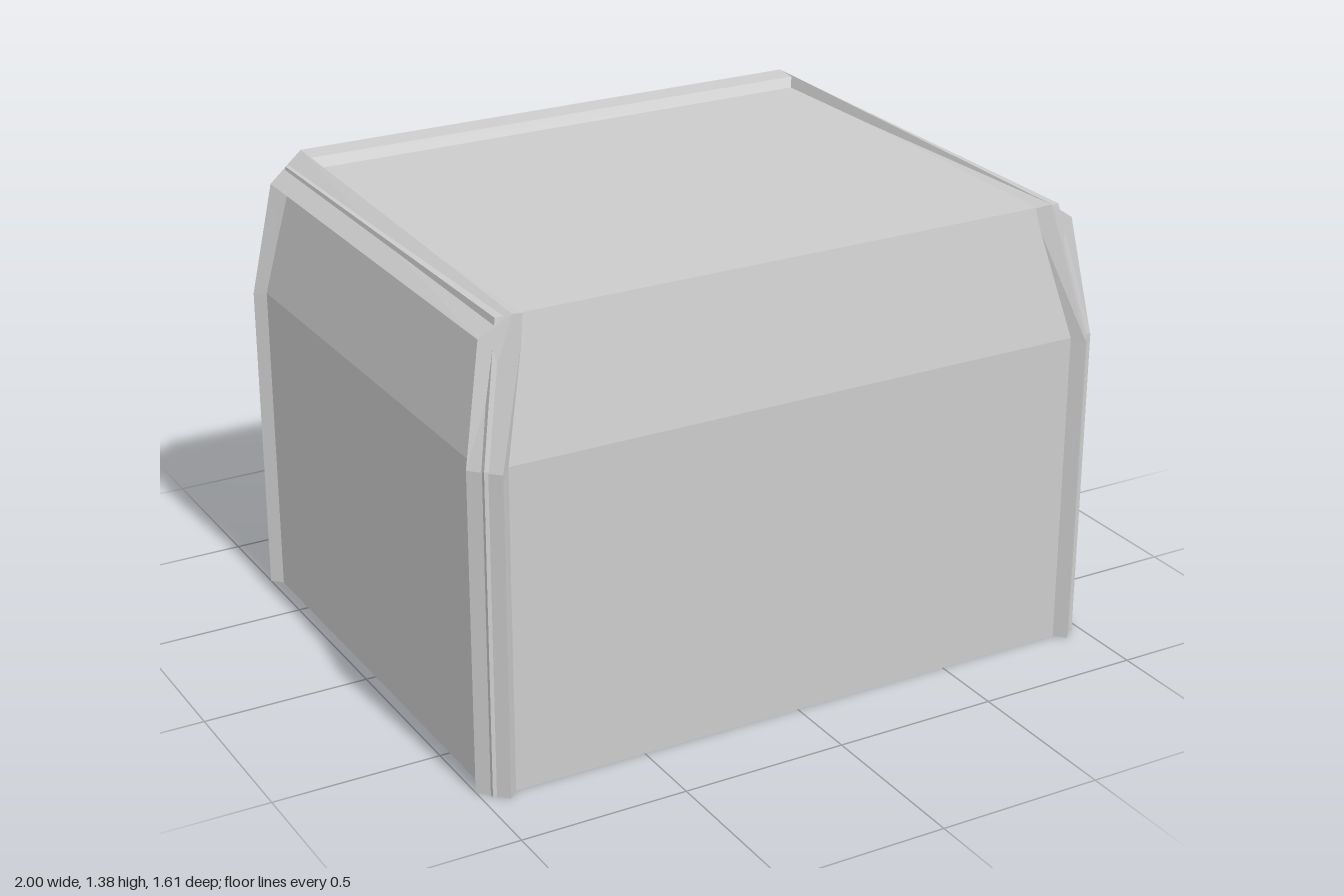
import * as THREE from 'three';
import { mergeVertices } from 'three/addons/utils/BufferGeometryUtils.js';

const flat = new THREE.MeshStandardMaterial({ color: 0xcccccc, flatShading: true });
const smooth = new THREE.MeshStandardMaterial({ color: 0xcccccc });

// Capped solid through matching cross-sections; winding is fixed from its volume.
function loft(sections) {
  const tris = [];
  const n = sections[0].length;
  for (let s = 0; s < sections.length - 1; s++) {
    const a = sections[s], b = sections[s + 1];
    for (let i = 0; i < n; i++) {
      const j = (i + 1) % n;
      tris.push([a[i], a[j], b[j]], [a[i], b[j], b[i]]);
    }
  }
  const first = sections[0], last = sections[sections.length - 1];
  for (let i = 1; i < n - 1; i++) {
    tris.push([first[0], first[i + 1], first[i]], [last[0], last[i], last[i + 1]]);
  }
  const o = new THREE.Vector3(...first[0]);
  let volume = 0;
  for (const t of tris) {
    const [p, q, r] = t.map((v) => new THREE.Vector3(...v).sub(o));
    volume += p.dot(q.cross(r));
  }
  if (volume < 0) tris.forEach((t) => t.reverse());
  const geo = new THREE.BufferGeometry();
  geo.setAttribute('position', new THREE.Float32BufferAttribute(tris.flat(2), 3));
  geo.computeVertexNormals();
  return geo;
}

const rect = (x, z, y) => [[x, y, z], [x, y, -z], [-x, y, -z], [-x, y, z]];
const flip = (points, sx, sz = 1) => points.map(([x, y, z]) => [x * sx, y, z * sz]);

export function createModel() {
  const group = new THREE.Group();
  const add = (name, geometry, material = flat) => {
    const mesh = new THREE.Mesh(geometry, material);
    mesh.name = name;
    group.add(mesh);
  };

  // Box and tapered lid
  add('body', loft([rect(0.97, 0.77, 0), rect(0.97, 0.77, 0.965)]));
  add('lid', loft([rect(0.97, 0.77, 0.965), rect(0.89, 0.69, 1.35)]));

  // Corner posts: turned square section, bending inward along the lid
  const post = (y) => [[1, y, 0.725], [0.93, y, 0.8], [0.86, y, 0.73], [0.93, y, 0.655]];
  const frontTop = [[0.94, 1.3, 0.69], [0.85, 1.36, 0.71], [0.8, 1.345, 0.685], [0.9, 1.28, 0.645]];
  const backTop = [[0.94, 1.305, -0.69], [0.83, 1.385, -0.715], [0.815, 1.345, -0.64], [0.9, 1.28, -0.645]];
  for (const [side, s] of [['left', 1], ['right', -1]]) {
    add(side + 'FrontPost', loft([flip(post(0), s), flip(post(0.96), s), flip(frontTop, s)]));
    add(side + 'BackPost', loft([flip(post(0), s, -1), flip(post(0.96), s, -1), flip(backTop, s)]));
    // Side rail rising slightly toward the back
    add(side + 'Rail', loft([flip(frontTop, s), flip(backTop, s)]));
  }

  // Rail across the back edge of the lid
  const backRail = (x) => [[x, 1.385, -0.715], [x, 1.38, -0.645], [x, 1.345, -0.625], [x, 1.325, -0.685]];
  add('backRail', loft([backRail(-0.83), backRail(0.83)]));

  // Smooth bent clasp: rows of half width, height and outer depth
  const rows = [[0.205, 0.81, -0.8], [0.22, 0.975, -0.805], [0.17, 1.165, -0.765]];
  const claspSections = rows.map(([w, y, z], i) => [
    [-w, y, z], [w, y, z],
    [w * 0.97, y, i === 2 ? -0.72 : -0.76], [-w * 0.97, y, i === 2 ? -0.72 : -0.76],
  ]);
  const clasp = loft(claspSections);
  clasp.deleteAttribute('normal');
  const claspSmooth = mergeVertices(clasp);
  claspSmooth.computeVertexNormals();
  add('clasp', claspSmooth, smooth);

  return group;
}
